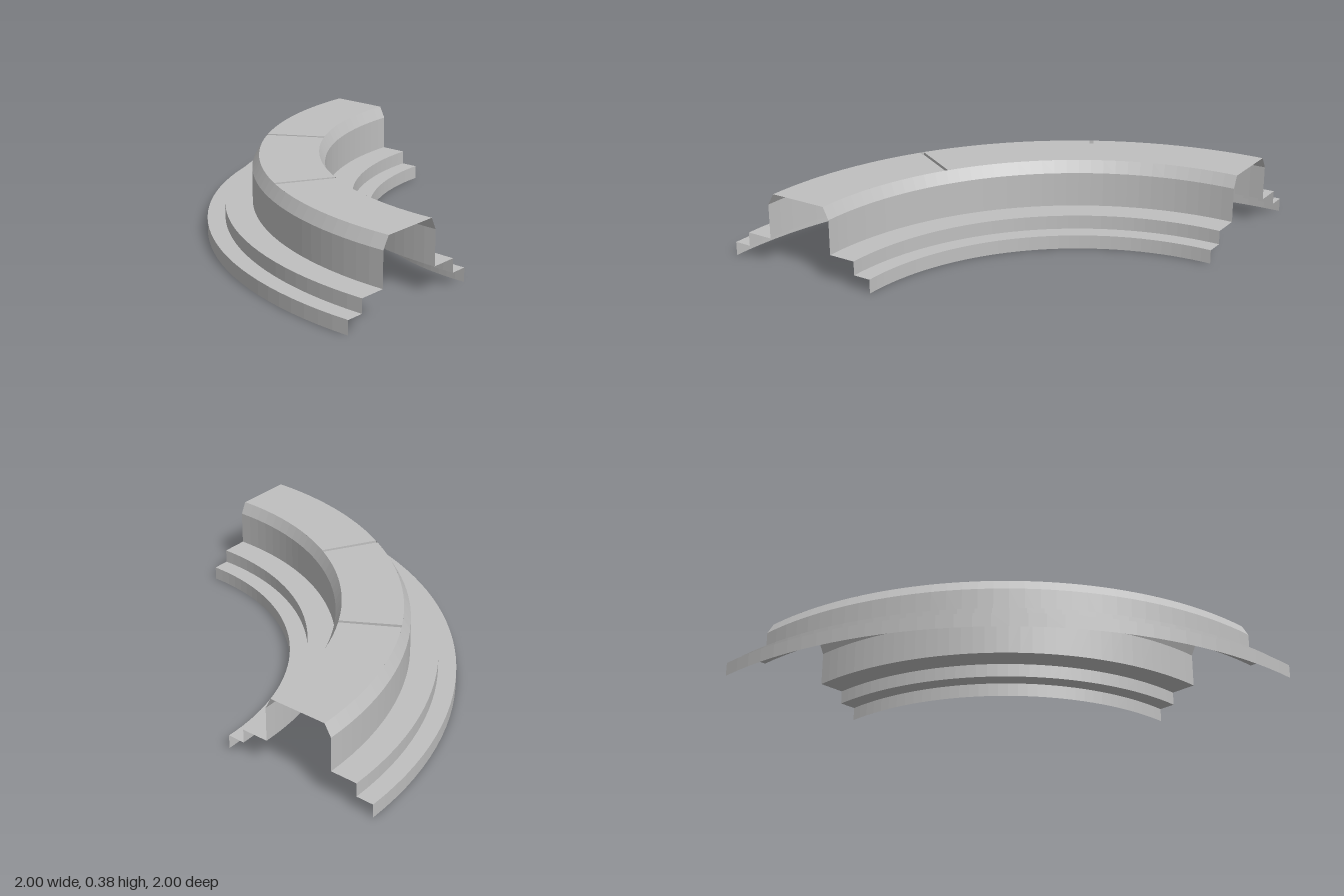
import * as THREE from 'three';

export function createModel() {
  const model = new THREE.Group();
  model.name = 'curvedCurb';

  const stone = new THREE.MeshStandardMaterial({ color: 0xbfbfbf, flatShading: true, side: THREE.DoubleSide });
  stone.name = 'grey';

  // Everything turns about the arc's centre at the back left corner
  const arc = new THREE.Group();
  arc.name = 'quarterArc';
  arc.position.set(1, 0, -1);
  model.add(arc);

  const START = -Math.PI / 2, SWEEP = Math.PI / 2;
  const TOP = 0.375, R_OUT = 1.735, R_IN = 1.43;
  const GAP = 0.0063, DEPTH = 0.015; // half angle and depth of a joint groove

  const sweep = (name, profile, from, length, segments) => {
    const points = profile.map(([r, y]) => new THREE.Vector2(r, y));
    const mesh = new THREE.Mesh(new THREE.LatheGeometry(points, segments, from, length), stone);
    mesh.name = name;
    arc.add(mesh);
  };

  // Stepped outer and inner sides, open below and at both ends
  sweep('outerSteps', [[2, 0], [2, 0.07], [1.91, 0.07], [1.91, 0.14], [1.77, 0.14], [1.77, 0.315], [R_OUT, TOP]], START, SWEEP, 36);
  sweep('innerSteps', [[R_IN, TOP], [1.4, 0.315], [1.4, 0.14], [1.26, 0.14], [1.26, 0.07], [1.17, 0.07], [1.17, 0]], START, SWEEP, 36);

  // Flat top in three slabs
  for (let i = 0; i < 3; i++) {
    const from = START + (i * SWEEP) / 3 + (i > 0 ? GAP : 0);
    const to = START + ((i + 1) * SWEEP) / 3 - (i < 2 ? GAP : 0);
    sweep('topSlab', [[R_OUT, TOP], [R_IN, TOP]], from, to - from, 12);
  }

  // Shallow radial grooves between the slabs
  for (let i = 1; i < 3; i++) {
    const phi = START + (i * SWEEP) / 3;
    sweep('grooveFloor', [[R_OUT, TOP], [R_OUT, TOP - DEPTH], [R_IN, TOP - DEPTH], [R_IN, TOP]], phi - GAP, 2 * GAP, 1);
    for (const side of [-1, 1]) {
      const a = phi + side * GAP, r = (R_OUT + R_IN) / 2;
      const wall = new THREE.Mesh(new THREE.PlaneGeometry(R_OUT - R_IN, DEPTH), stone);
      wall.name = 'grooveWall';
      wall.position.set(r * Math.sin(a), TOP - DEPTH / 2, r * Math.cos(a));
      wall.rotation.y = a - Math.PI / 2;
      arc.add(wall);
    }
  }
  return model;
}
